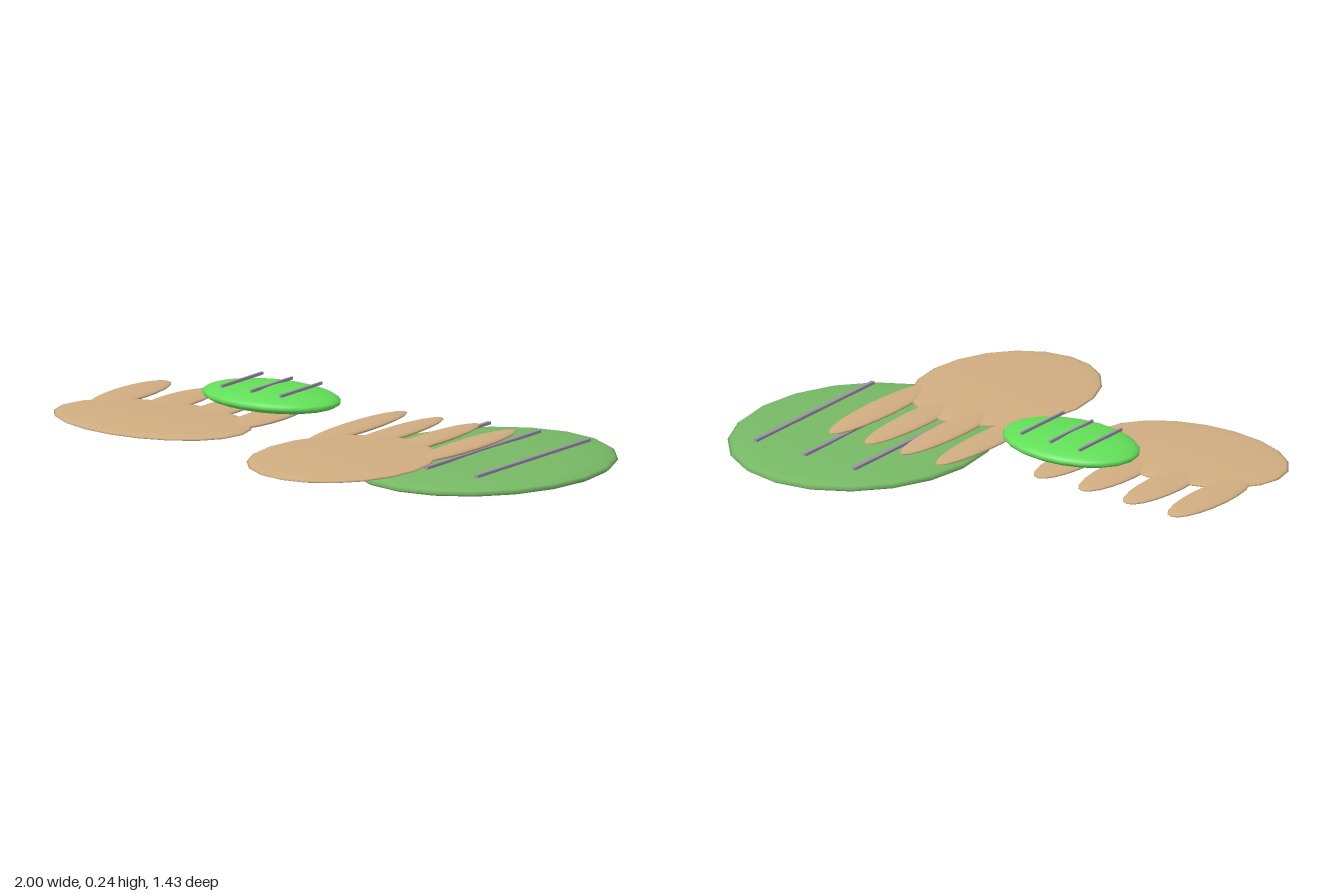
import * as THREE from 'three';

const material = (name, color) => {
  const m = new THREE.MeshStandardMaterial({ color });
  m.name = name;
  return m;
};

export function createModel() {
  const model = new THREE.Group();
  model.name = 'leavesAndHands';

  const skin = material('tan skin', 0xd0ad81);
  const darkLeaf = material('leaf green', 0x77b865);
  const brightLeaf = material('bright green', 0x62de58);
  const veinColor = material('lilac vein', 0x9a8fa8);

  // Flattened ellipsoid shared by leaves, palms and fingers
  const disc = new THREE.SphereGeometry(1, 20, 14);
  const addDisc = (parent, name, mat, [x, y, z], [rx, ry, rz]) => {
    const mesh = new THREE.Mesh(disc, mat);
    mesh.name = name;
    mesh.position.set(x, y, z);
    mesh.scale.set(rx, ry, rz);
    parent.add(mesh);
  };

  // Leaf pad with three parallel veins resting on its top
  const addLeaf = (name, mat, centre, radii, spacing, vein) => {
    const leaf = new THREE.Group();
    leaf.name = name;
    leaf.position.set(...centre);
    addDisc(leaf, 'leafPad', mat, [0, 0, 0], radii);
    const geometry = new THREE.BoxGeometry(vein.width, 0.01, vein.length);
    for (const i of [-1, 0, 1]) {
      const mesh = new THREE.Mesh(geometry, veinColor);
      mesh.name = 'leafVein';
      mesh.position.set(i * spacing, radii[1] + 0.001, 0);
      leaf.add(mesh);
    }
    model.add(leaf);
  };

  // Flat hand: oval palm with four fingers pointing back
  const addHand = (name, palmCentre, palmRadii, spacing, fingerZ, fingerRadii) => {
    const hand = new THREE.Group();
    hand.name = name;
    hand.position.set(...palmCentre);
    addDisc(hand, 'palm', skin, [0, 0, 0], palmRadii);
    for (let i = 0; i < 4; i++) {
      addDisc(hand, 'finger', skin, [(i - 1.5) * spacing, 0, fingerZ], fingerRadii);
    }
    model.add(hand);
  };

  addLeaf('largeLeaf', darkLeaf, [0.535, 0.043, -0.19], [0.46, 0.043, 0.527],
    0.22, { width: 0.014, length: 0.69 });
  addLeaf('smallLeaf', brightLeaf, [-0.302, 0.19, -0.064], [0.276, 0.041, 0.186],
    0.13, { width: 0.009, length: 0.25 });

  addHand('leftHand', [0.292, 0.12, 0.33], [0.32, 0.017, 0.381], 0.16, -0.42, [0.061, 0.014, 0.3]);
  addHand('rightHand', [-0.605, 0.12, 0.24], [0.395, 0.017, 0.265], 0.2, -0.28, [0.075, 0.014, 0.23]);

  return model;
}
